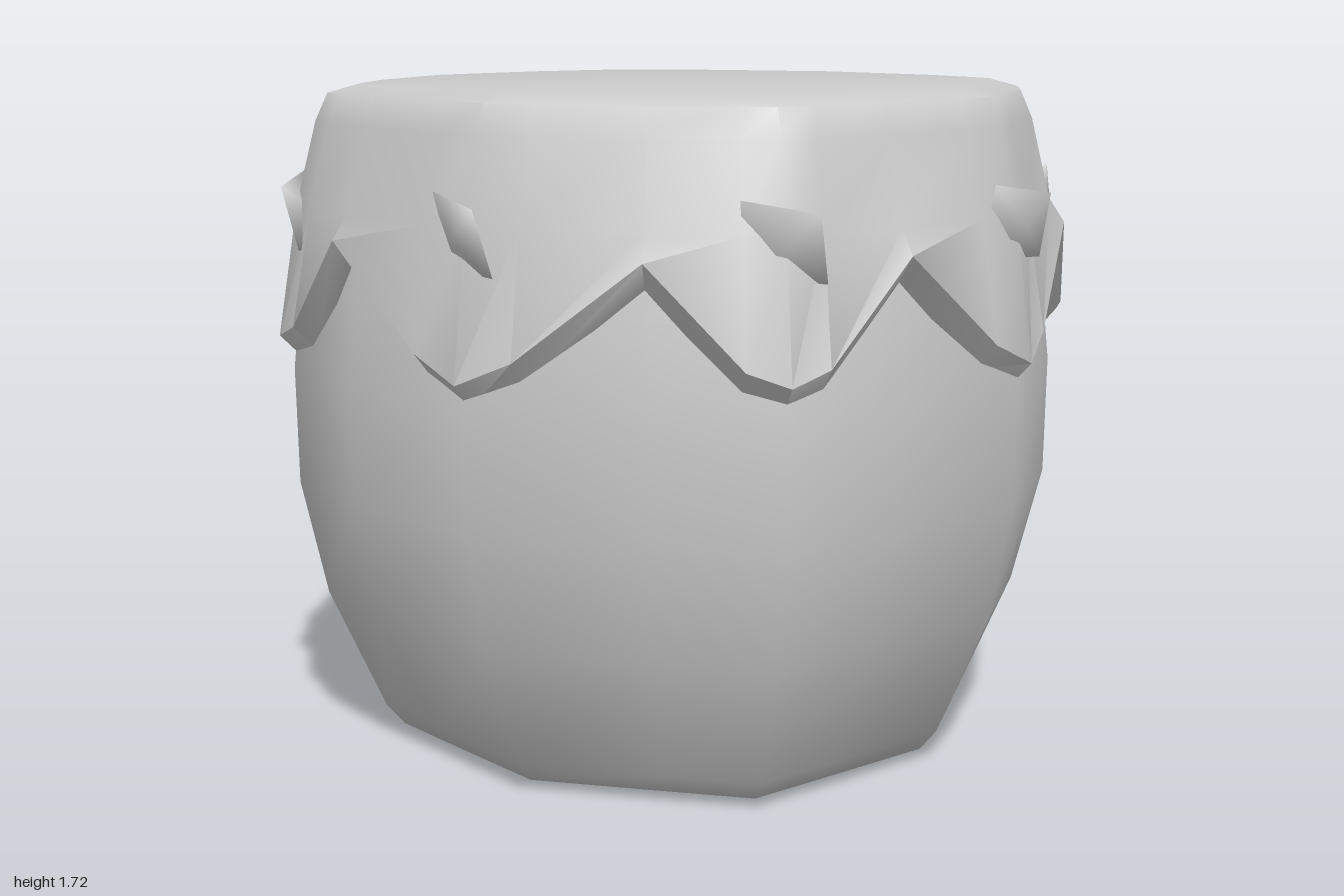
import * as THREE from 'three';
import { toCreasedNormals } from 'three/addons/utils/BufferGeometryUtils.js';

const material = new THREE.MeshStandardMaterial({ color: 0xcccccc });

// One quarter of the plan outline: x, z, height of the zigzag hem
const QUARTER = [
  [0, 1, 1.06], [0.14, 0.97, 1.12], [0.45, 0.9, 1.36], [0.66, 0.8, 1.12],
  [0.75, 0.75, 1.085], [0.8, 0.66, 1.12], [0.9, 0.45, 1.36], [0.97, 0.14, 1.12],
];

// Repeat the quarter around the vertical axis
function fullOutline(quarter) {
  const out = [];
  for (let k = 0; k < 4; k++) {
    for (const [x, z, hem] of quarter) {
      let px = x, pz = z;
      for (let t = 0; t < k; t++) [px, pz] = [pz, -px];
      out.push({ x: px, z: pz, hem });
    }
  }
  return out;
}

// Skin closed rings listed from top to bottom, with optional flat caps
function loft(rings, capTop, capBottom) {
  const n = rings[0].length, pos = [], idx = [];
  for (const ring of rings) for (const p of ring) pos.push(...p);
  for (let j = 0; j < rings.length - 1; j++) {
    for (let i = 0; i < n; i++) {
      const a = j * n + i, d = j * n + (i + 1) % n;
      idx.push(a, a + n, d, d, a + n, d + n);
    }
  }
  const cap = (j, flip) => {
    const c = pos.length / 3;
    pos.push(0, rings[j][0][1], 0);
    for (let i = 0; i < n; i++) {
      const a = j * n + i, b = j * n + (i + 1) % n;
      if (flip) idx.push(c, b, a);
      else idx.push(c, a, b);
    }
  };
  if (capTop) cap(0, false);
  if (capBottom) cap(rings.length - 1, true);
  const g = new THREE.BufferGeometry();
  g.setAttribute('position', new THREE.Float32BufferAttribute(pos, 3));
  g.setIndex(idx);
  return toCreasedNormals(g, 0.9);
}

function named(geometry, name) {
  const mesh = new THREE.Mesh(geometry, material);
  mesh.name = name;
  return mesh;
}

// Rounded shell: octagonal at the foot, rounder towards the top
function makeBody() {
  const profile = [
    [0.9, 1.45], [0.945, 1.22], [0.967, 1.0], [0.962, 0.7],
    [0.9, 0.4], [0.765, 0.08], [0.72, 0.025], [0.64, 0.003], 
  ];
  const rings = profile.map(([s, y]) => {
    const mid = 0.85 + 0.04 * Math.min(1, y / 0.7);
    const quarter = [[0, 1], [0.45, mid], [0.75, 0.75], [mid, 0.45]];
    return fullOutline(quarter).map((p) => [p.x * s, y, p.z * s]);
  });
  rings.push(rings.at(-1).map(([x, , z]) => [x, 0, z]));
  return named(loft(rings, false, true), 'drumShell');
}

// Stretched skin with a thick zigzag hem
function makeSkin() {
  const outline = fullOutline(QUARTER);
  const ring = (scale, y) => outline.map((p) => [p.x * scale, y, p.z * scale]);
  const rings = [
    ring(0.8, 1.72), ring(0.87, 1.7), ring(0.9, 1.63), ring(0.95, 1.42),
    outline.map((p) => {
      const s = p.hem > 1.3 ? 0.99 : 1;
      return [p.x * s, p.hem, p.z * s];
    }),
    outline.map((p) => [p.x * 0.94, p.hem - 0.065, p.z * 0.94]),
  ];
  return named(loft(rings, true, false), 'drumSkin');
}

// Crooked peg head: a four-cornered rim with a shallow point on each side
function studGeometry() {
  const pos = [
    -0.1, 0.1, 0, 0.08, 0.075, 0.02, 0.095, -0.09, 0, -0.095, -0.09, -0.02,
    0, 0, 0.035, 0, 0, -0.035,
  ];
  const idx = [];
  for (let i = 0; i < 4; i++) {
    const j = (i + 1) % 4;
    idx.push(4, j, i, 5, i, j);
  }
  const g = new THREE.BufferGeometry();
  g.setAttribute('position', new THREE.Float32BufferAttribute(pos, 3));
  g.setIndex(idx);
  g.rotateX(0.15);
  g.rotateY(-0.32);
  g.computeVertexNormals();
  return g;
}

export function createModel() {
  const model = new THREE.Group();
  model.name = 'drum';
  model.add(makeBody(), makeSkin());

  // Eight studs around the skin
  const studs = new THREE.Group();
  studs.name = 'studs';
  const geometry = studGeometry();
  for (let i = 0; i < 8; i++) {
    const angle = (i * Math.PI) / 4;
    const radius = i % 2 ? 0.995 : 0.955;
    const stud = named(geometry, 'stud');
    stud.position.set(Math.sin(angle) * radius, 1.4, Math.cos(angle) * radius);
    stud.rotation.y = angle;
    studs.add(stud);
  }
  model.add(studs);
  return model;
}
